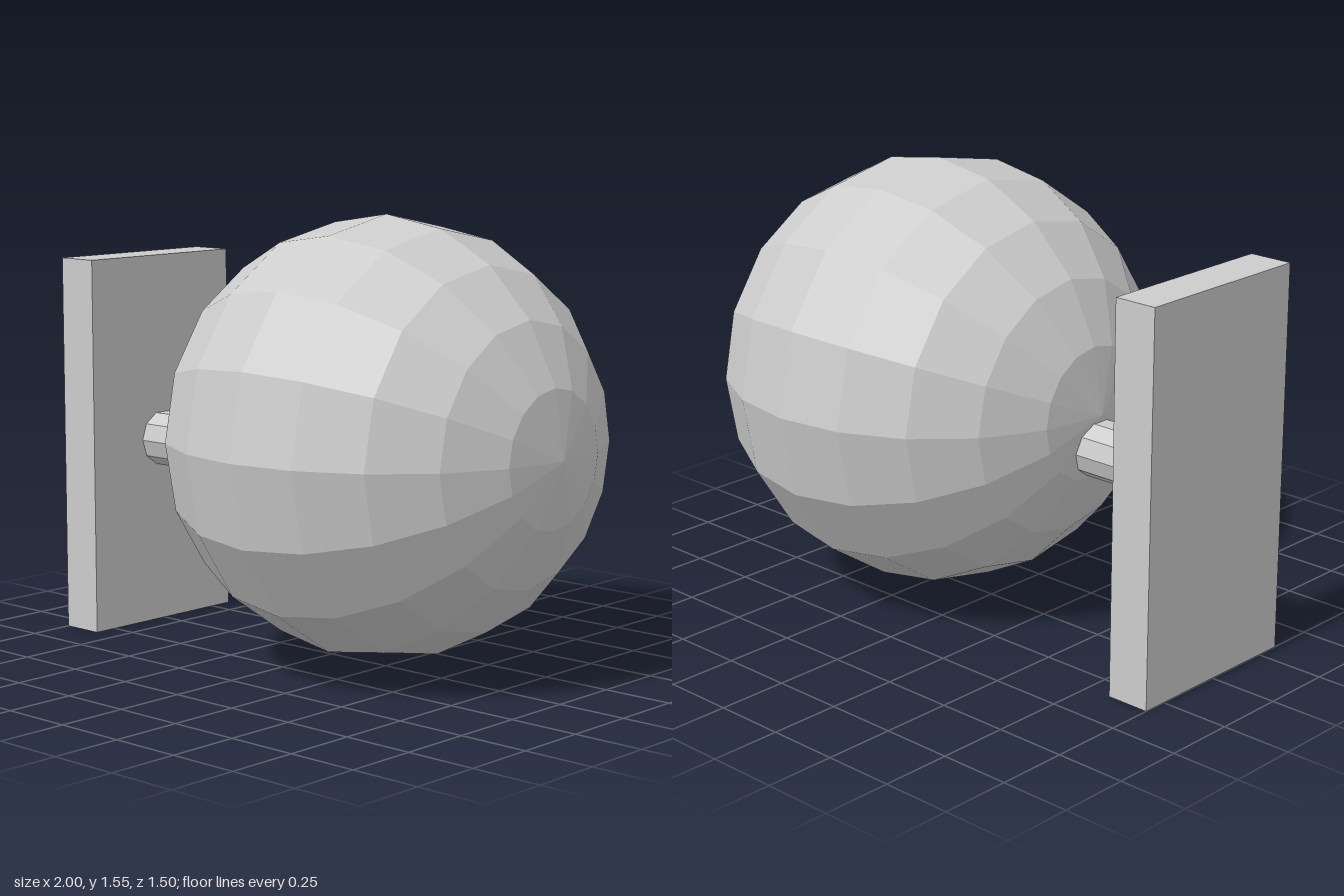
import * as THREE from 'three';

// Faceted normals for a low-poly look
function faceted(geometry) {
  const g = geometry.toNonIndexed();
  g.computeVertexNormals();
  return g;
}

export function createModel() {
  const model = new THREE.Group();
  model.name = 'wallGlobe';

  const grey = new THREE.MeshStandardMaterial({ color: 0xcccccc });
  grey.name = 'light grey';

  const add = (name, geometry, x, y, z) => {
    const mesh = new THREE.Mesh(geometry, grey);
    mesh.name = name;
    mesh.position.set(x, y, z);
    model.add(mesh);
  };

  // Upright mounting plate
  add('mountingPlate', new THREE.BoxGeometry(0.156, 1.35, 0.674), -0.922, 0.675, 0);

  // Ten-sided stem running from the plate into the globe
  const stem = new THREE.CylinderGeometry(0.1, 0.1, 0.46, 10).rotateZ(-Math.PI / 2);
  add('stem', faceted(stem), -0.63, 0.677, 0);

  // Faceted globe with its poles along x
  const globe = new THREE.SphereGeometry(0.752, 16, 10).rotateZ(-Math.PI / 2);
  add('globe', faceted(globe), 0.248, 0.795, 0);

  return model;
}
